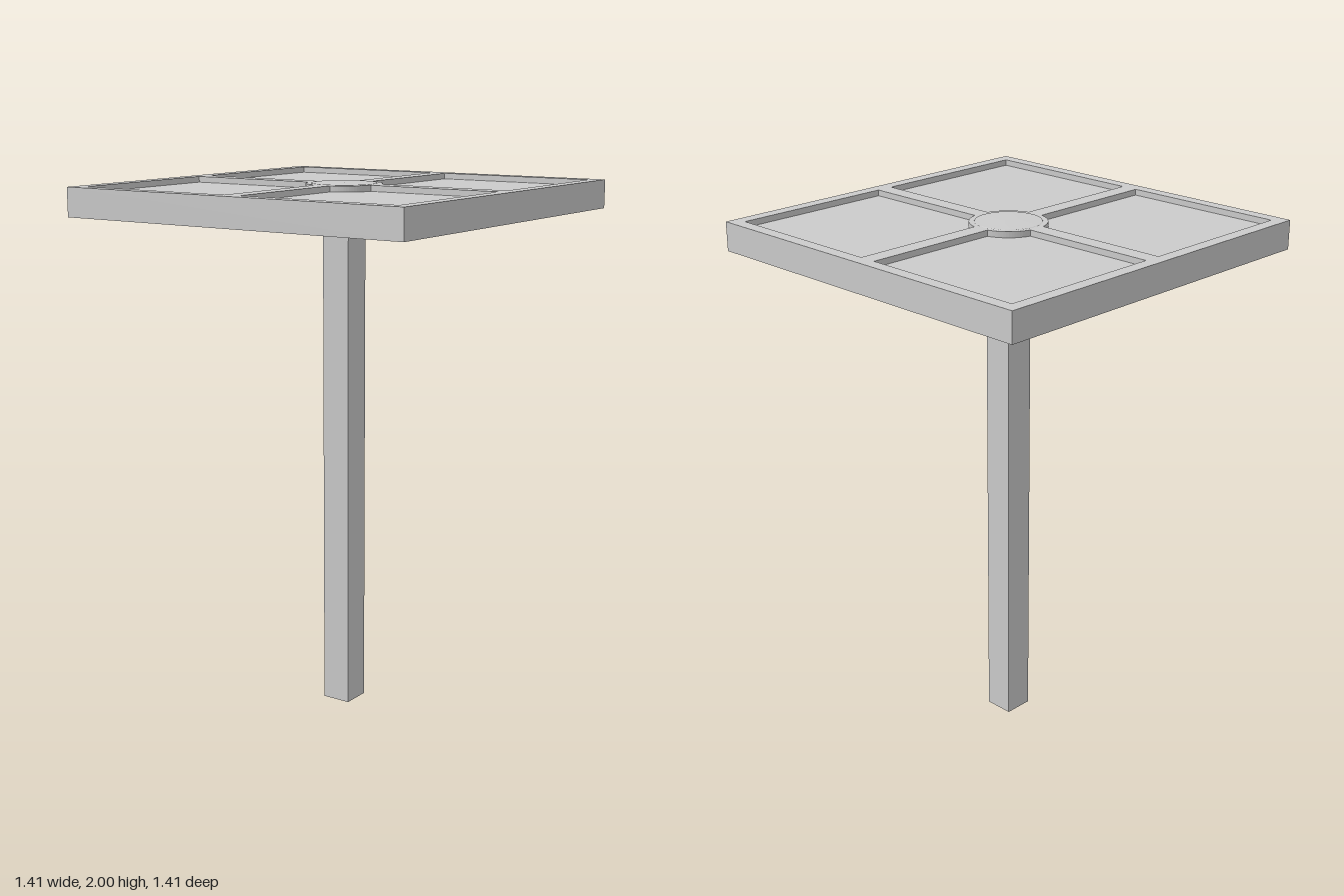
import * as THREE from 'three';

const HALF = 0.706;      // half width of the square top
const OPEN = 0.658;      // outer edge of the recesses
const BAR = 0.032;       // half width of the cross bars
const HUB = 0.141;       // radius of the round hub
const BOTTOM = 1.89, TOP = 1.997, RECESS = 0.022;

// One recess outline: a square with its inner corner cut by the hub, turned into each quadrant
function recessPath(quarter) {
  const a = Math.asin(BAR / HUB), n = 16, pts = [];
  for (let i = 0; i <= n; i++) {
    const t = a + (Math.PI / 2 - 2 * a) * (i / n);
    pts.push(new THREE.Vector2(HUB * Math.cos(t), HUB * Math.sin(t)));
  }
  pts.push(new THREE.Vector2(BAR, OPEN), new THREE.Vector2(OPEN, OPEN), new THREE.Vector2(OPEN, BAR));
  const centre = new THREE.Vector2();
  return new THREE.Path(pts.map(p => p.rotateAround(centre, quarter * Math.PI / 2)));
}

export function createModel() {
  const group = new THREE.Group();
  const material = new THREE.MeshStandardMaterial({ color: 0xcccccc });
  const add = (name, geometry, y = 0) => {
    const mesh = new THREE.Mesh(geometry, material);
    mesh.name = name;
    mesh.position.y = y;
    group.add(mesh);
  };

  // Frame with cross bars and hub, pierced by four openings
  const outline = new THREE.Shape([[-1, -1], [1, -1], [1, 1], [-1, 1]]
    .map(([x, y]) => new THREE.Vector2(x * HALF, y * HALF)));
  for (let q = 0; q < 4; q++) outline.holes.push(recessPath(q));
  const frame = new THREE.ExtrudeGeometry(outline, { depth: TOP - BOTTOM, bevelEnabled: false });
  frame.rotateX(-Math.PI / 2);
  add('topFrame', frame, BOTTOM);

  // Sunken panel filling the openings, recessed above and below
  const side = 2 * OPEN + 0.02;
  add('recessedPanel', new THREE.BoxGeometry(side, TOP - BOTTOM - 2 * RECESS, side), (TOP + BOTTOM) / 2);

  // Very shallow raised cap on the hub
  const profile = [[0.122, TOP - 0.001], [0.12, 1.999], [0, 2]].map(([r, y]) => new THREE.Vector2(r, y));
  add('hubCap', new THREE.LatheGeometry(profile, 48));

  // Square post
  const postHeight = BOTTOM + 0.03;
  add('post', new THREE.BoxGeometry(0.112, postHeight, 0.112), postHeight / 2);

  return group;
}
